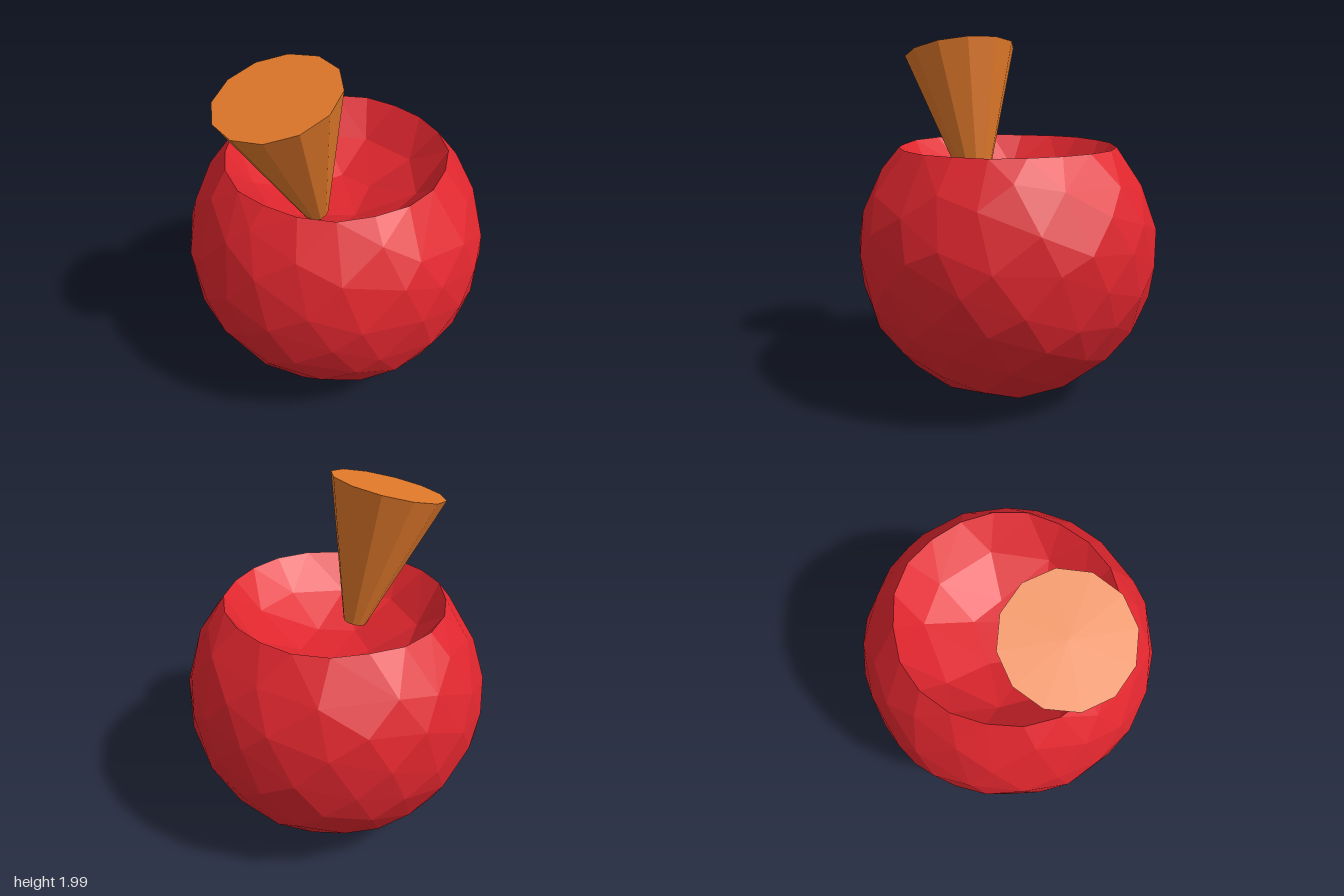
import * as THREE from 'three';
import { ConvexGeometry } from 'three/addons/geometries/ConvexGeometry.js';

const RIM_Y = 1.41, RIM_R = 0.595, RADIUS = 0.835;

// Small seeded generator, returns -1..1
function makeJitter(seed) {
  let s = seed;
  return () => {
    s = (s * 16807) % 2147483647;
    return (s / 2147483647) * 2 - 1;
  };
}

// Faceted hull of the points, open across the rim; flip shows its inside
function openShell(points, isRim, flip) {
  const src = new ConvexGeometry(points).getAttribute('position');
  const out = [];
  for (let i = 0; i < src.count; i += 3) {
    const tri = [0, 1, 2].map(k => new THREE.Vector3().fromBufferAttribute(src, i + k));
    if (tri.every(isRim)) continue;
    if (flip) tri.reverse();
    tri.forEach(p => out.push(p.x, p.y, p.z));
  }
  const geo = new THREE.BufferGeometry();
  geo.setAttribute('position', new THREE.Float32BufferAttribute(out, 3));
  geo.computeVertexNormals();
  return geo;
}

export function createModel() {
  const group = new THREE.Group();
  const red = new THREE.MeshStandardMaterial({ color: 0xe0262e, flatShading: true });
  const brown = new THREE.MeshStandardMaterial({ color: 0xe0782a, flatShading: true });
  const jitter = makeJitter(4127);

  // Rim shared by the skin and the hollow
  const rim = [];
  for (let i = 0; i < 20; i++) {
    const a = (i / 20) * Math.PI * 2;
    const r = RIM_R + jitter() * 0.008;
    rim.push(new THREE.Vector3(Math.cos(a) * r, RIM_Y + jitter() * 0.006, Math.sin(a) * r));
  }
  const isRim = p => p.y > RIM_Y - 0.02;

  // Round skin: irregular points spread over a sphere up to the rim
  const skin = [...rim];
  const n = 150;
  for (let i = 0; i < n; i++) {
    const y = -1 + (2 * (i + 0.5)) / n;
    if (y > 0.6) break;
    const a = i * 2.39996;
    const c = Math.sqrt(1 - y * y);
    const p = new THREE.Vector3(Math.cos(a) * c, y, Math.sin(a) * c);
    p.add(new THREE.Vector3(jitter(), jitter(), jitter()).multiplyScalar(0.045));
    p.normalize().multiplyScalar(RADIUS + jitter() * 0.005);
    p.y = Math.max(p.y + 0.83, 0);
    skin.push(p);
  }
  const body = new THREE.Mesh(openShell(skin, isRim, false), red);
  body.name = 'fruitSkin';
  group.add(body);

  // Hollow at the top, with larger facets
  const hollow = [...rim];
  for (const [count, r, y] of [[9, 0.45, 1.235], [5, 0.2, 1.12]]) {
    for (let i = 0; i < count; i++) {
      const a = ((i + 0.3 + jitter() * 0.15) / count) * Math.PI * 2;
      hollow.push(new THREE.Vector3(Math.cos(a) * r, y + jitter() * 0.012, Math.sin(a) * r));
    }
  }
  const bowl = new THREE.Mesh(openShell(hollow, isRim, true), red);
  bowl.name = 'topHollow';
  group.add(bowl);

  // Flared twelve-sided stem, leaning to one side
  const length = 0.79;
  const stemGeo = new THREE.CylinderGeometry(0.32, 0.065, length, 12);
  stemGeo.rotateY(Math.PI / 12);
  stemGeo.translate(0, -length / 2, 0);
  const stem = new THREE.Mesh(stemGeo, brown);
  stem.name = 'stem';
  stem.position.set(-0.41, 1.918, 0.098);
  stem.rotation.z = 0.268;
  group.add(stem);

  return group;
}
